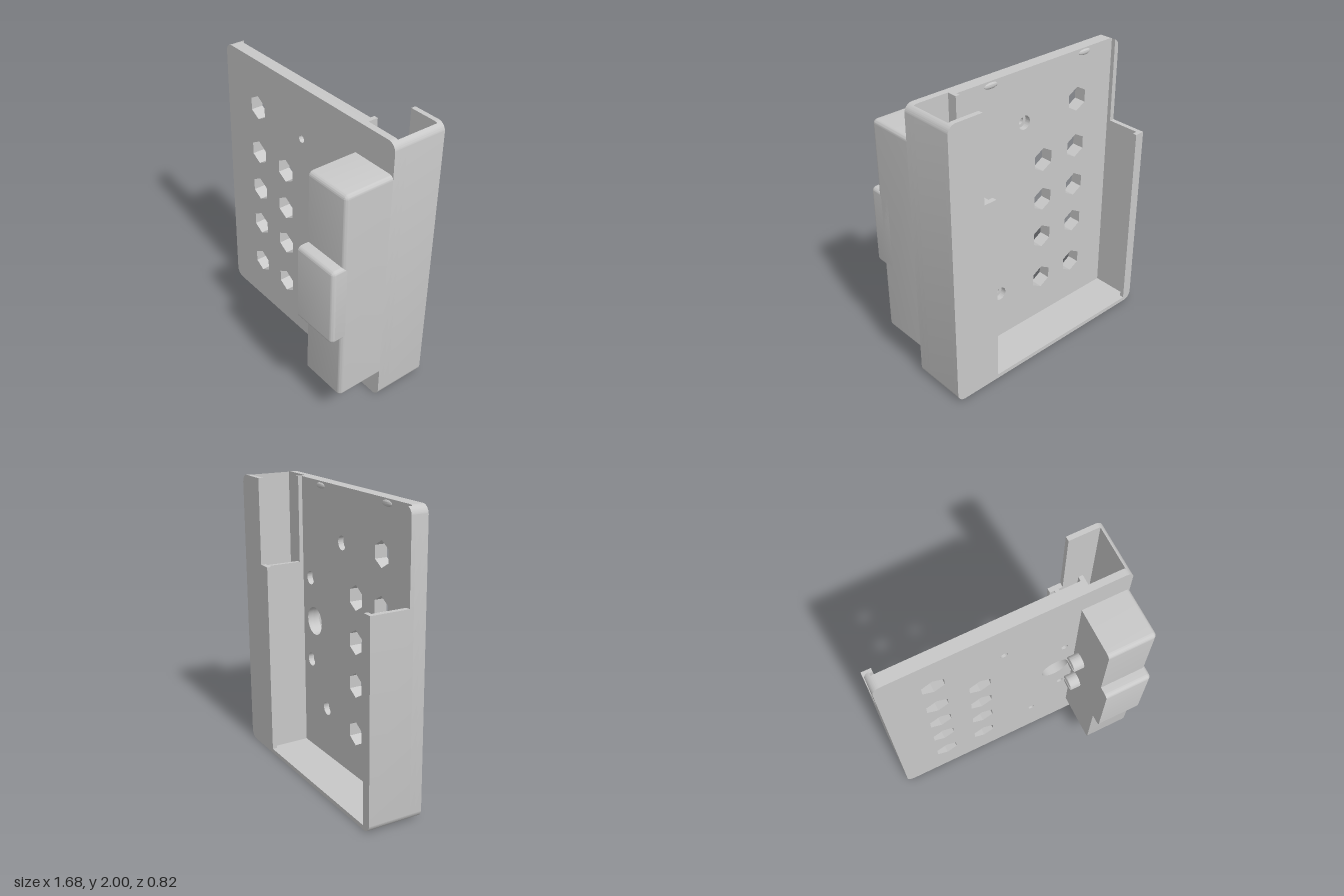
import * as THREE from 'three';
import { toCreasedNormals } from 'three/addons/utils/BufferGeometryUtils.js';

const W = 0.842, H = 2, R = 0.06;          // half width, height, corner radius
const FRONT = -0.02, STEP = -0.067, FLOOR = -0.108, LOW = -0.137, BACK = -0.408;
const WALL = 0.807, CUT = 1.4;             // inner wall face, height of the wall cut-outs
const TRIM = Math.acos((WALL - W + R) / R); // corner arc angle where it meets the inner wall face

export function createModel() {
  const group = new THREE.Group();
  const grey = new THREE.MeshStandardMaterial({ color: 0xc8c8c8 });
  grey.name = 'lightGreyPlastic';

  const add = (name, geometry) => {
    const mesh = new THREE.Mesh(toCreasedNormals(geometry, 0.5), grey);
    mesh.name = name;
    group.add(mesh);
    return mesh;
  };
  // flat shape in x/y, extruded between two depths
  const slab = (name, shape, zBack, zFront) => {
    const g = new THREE.ExtrudeGeometry(shape, { depth: zFront - zBack, bevelEnabled: false, curveSegments: 24 });
    return add(name, g.translate(0, 0, zBack));
  };
  const box = (name, x0, x1, y0, y1, z0, z1) => {
    const g = new THREE.BoxGeometry(x1 - x0, y1 - y0, z1 - z0);
    return add(name, g.translate((x0 + x1) / 2, (y0 + y1) / 2, (z0 + z1) / 2));
  };
  const roundRect = (x0, y0, x1, y1, r) => {
    const s = new THREE.Shape();
    s.absarc(x0 + r, y0 + r, r, Math.PI, Math.PI * 1.5);
    s.absarc(x1 - r, y0 + r, r, Math.PI * 1.5, Math.PI * 2);
    s.absarc(x1 - r, y1 - r, r, 0, Math.PI / 2);
    s.absarc(x0 + r, y1 - r, r, Math.PI / 2, Math.PI);
    s.closePath();
    return s;
  };

  // openings: hexagonal vents, one large round hole, counterbored screw holes
  const addHoles = (shape, screwRadius) => {
    const circle = (x, y, r) => shape.holes.push(new THREE.Path().absarc(x, y, r, 0, Math.PI * 2, true));
    const hex = (x, y) => {
      const pts = [];
      for (let i = 0; i < 6; i++) {
        const a = Math.PI / 2 - i * Math.PI / 3;
        pts.push(new THREE.Vector2(x + 0.087 * Math.cos(a), y + 0.087 * Math.sin(a)));
      }
      shape.holes.push(new THREE.Path(pts));
    };
    for (const y of [1.653, 1.304, 1.0, 0.698, 0.349]) {
      hex(-0.49, y);
      if (y < 1.6) hex(-0.187, y);
    }
    circle(0.372, 1.0, 0.1);
    for (const [x, y] of [[-0.012, 1.633], [0.425, 1.304], [0.425, 0.698], [0.205, 0.392]]) circle(x, y, screwRadius);
    return shape;
  };

  // front plate: thin outer layer, then an inner layer that leaves the side channel open
  slab('frontPlate', addHoles(roundRect(-W, 0, W, H, R), 0.026), STEP, FRONT);
  const inner = new THREE.Shape();
  inner.absarc(-W + R, R, R, Math.PI, Math.PI * 1.5);
  inner.absarc(W - R, R, R, Math.PI * 1.5, Math.PI * 2);
  inner.absarc(W - R, H - R, R, 0, TRIM);
  inner.lineTo(WALL, 0.03);
  inner.lineTo(0.56, 0.03);
  inner.lineTo(0.56, H);
  inner.absarc(-W + R, H - R, R, Math.PI / 2, Math.PI);
  inner.closePath();
  slab('innerPlate', addHoles(inner, 0.048), FLOOR, STEP);

  // side and bottom walls in one run; the top stays open
  const rim = new THREE.Shape();
  rim.moveTo(-W, CUT);
  rim.lineTo(-W, R);
  rim.absarc(-W + R, R, R, Math.PI, Math.PI * 1.5);
  rim.absarc(W - R, R, R, Math.PI * 1.5, Math.PI * 2);
  rim.absarc(W - R, H - R, R, 0, TRIM);
  rim.lineTo(WALL, 0.03);
  rim.lineTo(-WALL, 0.03);
  rim.lineTo(-WALL, CUT);
  rim.closePath();
  slab('outerWalls', rim, BACK, FLOOR);

  // low upper part of the right wall
  const lowWall = new THREE.Shape();
  lowWall.moveTo(-W, CUT);
  lowWall.lineTo(-WALL, CUT);
  lowWall.absarc(-W + R, H - R, R, Math.PI - TRIM, Math.PI);
  lowWall.closePath();
  slab('lowWall', lowWall, LOW, FLOOR);

  // divider between the main tray and the side channel, cut down near the top
  box('divider', 0.53, 0.56, 0.02, CUT, BACK, FLOOR);
  box('lowDivider', 0.53, 0.56, CUT, H, LOW, FLOOR);

  // back cover of the side channel, with an overhanging lip below the cut
  const cover = new THREE.Shape();
  cover.moveTo(0.495, 0);
  cover.lineTo(W - R, 0);
  cover.absarc(W - R, R, R, Math.PI * 1.5, Math.PI * 2);
  cover.absarc(W - R, H - R, R, 0, Math.PI / 2);
  cover.lineTo(0.59, H);
  cover.lineTo(0.59, CUT);
  cover.lineTo(0.495, CUT);
  cover.closePath();
  slab('channelCover', cover, BACK, -0.374);
  box('retainingLip', -WALL, -0.77, 0.03, CUT, BACK, -0.378);

  // housings on the front: rounded except on the flat inner face at x = 0.51
  const housing = (name, y0, y1, zBack, zFront) => {
    const b = 0.03;
    const g = new THREE.ExtrudeGeometry(roundRect(-zFront, y0, -zBack, y1, b + 0.002), {
      depth: W - b - 0.51, bevelThickness: b, bevelSize: b, bevelOffset: -b, bevelSegments: 12, curveSegments: 12,
    });
    g.rotateY(Math.PI / 2).translate(0.51, 0, 0);
    const p = g.attributes.position;
    for (let i = 0; i < p.count; i++) p.setX(i, Math.max(p.getX(i), 0.51));
    add(name, g);
  };
  housing('longHousing', 0.217, 1.788, -0.06, 0.328);
  housing('middleHousing', 0.718, 1.285, 0.2, 0.408);

  // split pins on the inner face of the housing
  for (const y of [1.173, 0.826]) {
    for (const side of [1, -1]) {
      const half = new THREE.Shape();
      const a = Math.asin(0.008 / 0.055);
      const start = side > 0 ? a : Math.PI + a;
      half.absarc(0, 0, 0.055, start, start + Math.PI - 2 * a);
      half.closePath();
      const g = new THREE.ExtrudeGeometry(half, {
        depth: 0.09, bevelThickness: 0.01, bevelSize: 0.008, bevelOffset: -0.008, bevelSegments: 2, curveSegments: 16,
      });
      g.rotateY(Math.PI / 2).translate(0.443, y, 0.064);
      add('splitPin', g);
    }
  }

  // shallow snap bumps near the open top edge
  for (const x of [-0.545, 0.265]) {
    const g = new THREE.SphereGeometry(1, 24, 16).scale(0.053, 0.02, 0.01);
    add('snapBump', g.translate(x, 1.97, FLOOR));
  }
  return group;
}
